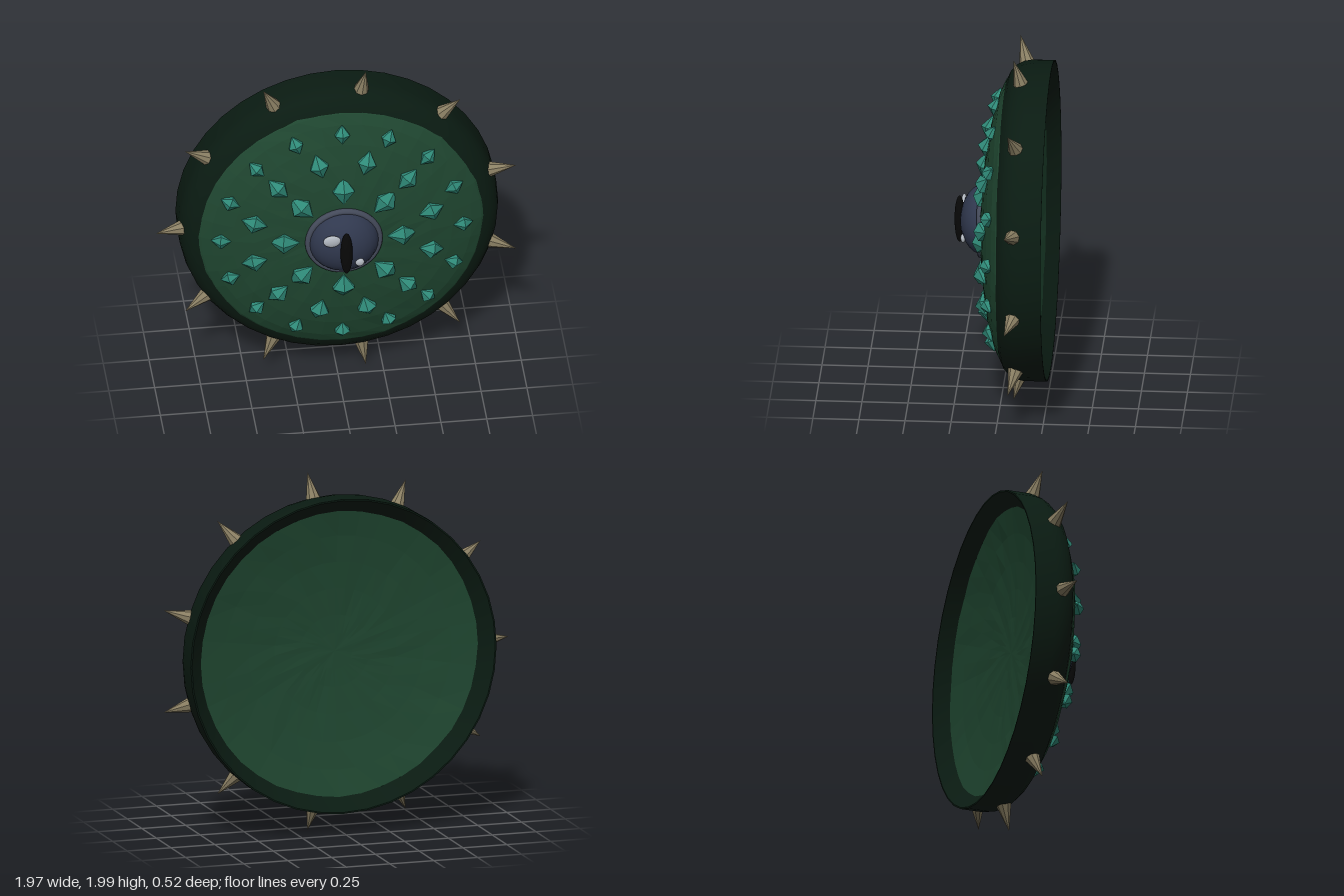
import * as THREE from 'three';
import { toCreasedNormals } from 'three/addons/utils/BufferGeometryUtils.js';

const SIDES = 40;

function mat(color, flat = false) {
  return new THREE.MeshStandardMaterial({ color, flatShading: flat });
}

// Lathe turned so that its axis points along +z; points are [radius, z].
function turned(points) {
  const geo = new THREE.LatheGeometry(points.map(([r, z]) => new THREE.Vector2(r, z)), SIDES);
  return geo.rotateX(Math.PI / 2);
}

// Slight unevenness that makes the flat facets of the hide visible.
function uneven(geo) {
  const p = geo.attributes.position;
  for (let i = 0; i < p.count; i++) {
    const x = p.getX(i), y = p.getY(i);
    p.setZ(i, p.getZ(i) + 0.003 * Math.sin(x * 31 + y * 17) * Math.sin(y * 37 - x * 11));
  }
  return geo;
}

function add(parent, name, geo, material) {
  const mesh = new THREE.Mesh(geo, material);
  mesh.name = name;
  parent.add(mesh);
  return mesh;
}

// Squashed sphere used for the eye details.
function blob(parent, name, material, position, size) {
  const mesh = add(parent, name, new THREE.SphereGeometry(1, 24, 16), material);
  mesh.position.set(...position);
  mesh.scale.set(...size);
  return mesh;
}

export function createModel() {
  const root = new THREE.Group();
  root.name = 'spikedShield';
  const shield = new THREE.Group();
  shield.name = 'shield';
  shield.position.set(0.018, 1.005, 0);
  root.add(shield);

  // Shallow domed face and hollow back, both lightly faceted
  const hideMat = mat(0x1f4630, true);
  add(shield, 'shieldFace', uneven(turned([
    [0.79, -0.025], [0.765, -0.006], [0.71, 0.02], [0.6, 0.054], [0.48, 0.079],
    [0.36, 0.096], [0.24, 0.107], [0.12, 0.113], [0, 0.115],
  ])), hideMat);
  add(shield, 'shieldBack', uneven(turned([
    [0, -0.105], [0.1, -0.106], [0.2, -0.11], [0.35, -0.12], [0.5, -0.136], [0.65, -0.158], [0.8, -0.188],
  ])), hideMat);

  // Rounded rim with a thin back edge sloping in to the hollow
  const rim = turned([
    [0.785, -0.18], [0.865, -0.26], [0.873, -0.26], [0.873, -0.14], [0.866, -0.1],
    [0.845, -0.06], [0.81, -0.028], [0.77, -0.01],
  ]);
  add(shield, 'rim', toCreasedNormals(rim, 0.7), mat(0x0a1b12));

  // Spikes around the rim, leaning slightly forward
  const spikeMat = mat(0x8a7f63, true);
  const up = new THREE.Vector3(0, 1, 0);
  const spikeGeo = new THREE.ConeGeometry(0.056, 0.2, 8).translate(0, 0.1, 0);
  for (let i = 0; i < 11; i++) {
    const a = Math.PI + (i / 11) * Math.PI * 2;
    const spike = add(shield, 'rimSpike', spikeGeo, spikeMat);
    spike.position.set(Math.cos(a) * 0.81, Math.sin(a) * 0.81, -0.118);
    const dir = new THREE.Vector3(Math.cos(a), Math.sin(a), 0.26).normalize();
    spike.quaternion.setFromUnitVectors(up, dir);
  }

  // Three rings of six-sided crystal studs, long axis pointing outward
  const crystalMat = mat(0x2f8a78, true);
  const crystalGeo = new THREE.SphereGeometry(1, 6, 2).rotateY(Math.PI / 6).rotateZ(-Math.PI / 2);
  const rings = [
    { n: 8, r: 0.322, start: 0, z: 0.093, size: [0.087, 0.068, 0.055] },
    { n: 12, r: 0.5, start: Math.PI / 12, z: 0.076, size: [0.073, 0.058, 0.053] },
    { n: 16, r: 0.66, start: 0, z: 0.04, size: [0.057, 0.046, 0.045] },
  ];
  for (const { n, r, start, z, size } of rings) {
    for (let i = 0; i < n; i++) {
      const a = start + (i / n) * Math.PI * 2;
      const crystal = add(shield, 'crystalStud', crystalGeo, crystalMat);
      crystal.position.set(Math.cos(a) * r, Math.sin(a) * r, z);
      crystal.rotation.set(0, 0.2, a, 'ZYX');
      crystal.scale.set(...size);
    }
  }

  // Central eye
  const eye = new THREE.Group();
  eye.name = 'eye';
  shield.add(eye);
  blob(eye, 'eyeball', mat(0x30384e), [0, 0, 0.1], [0.193, 0.193, 0.132]);
  const socket = add(eye, 'eyeSocketRing', new THREE.TorusGeometry(0.194, 0.018, 10, SIDES), mat(0x444a5a));
  socket.position.z = 0.115;
  blob(eye, 'slitPupil', mat(0x080808), [0, 0, 0.235], [0.033, 0.135, 0.028]);
  const glint = mat(0xb4bac2);
  blob(eye, 'largeGlint', glint, [-0.077, 0.073, 0.216], [0.048, 0.037, 0.015]);
  blob(eye, 'smallGlint', glint, [0.075, -0.083, 0.211], [0.025, 0.025, 0.014]);

  return root;
}
